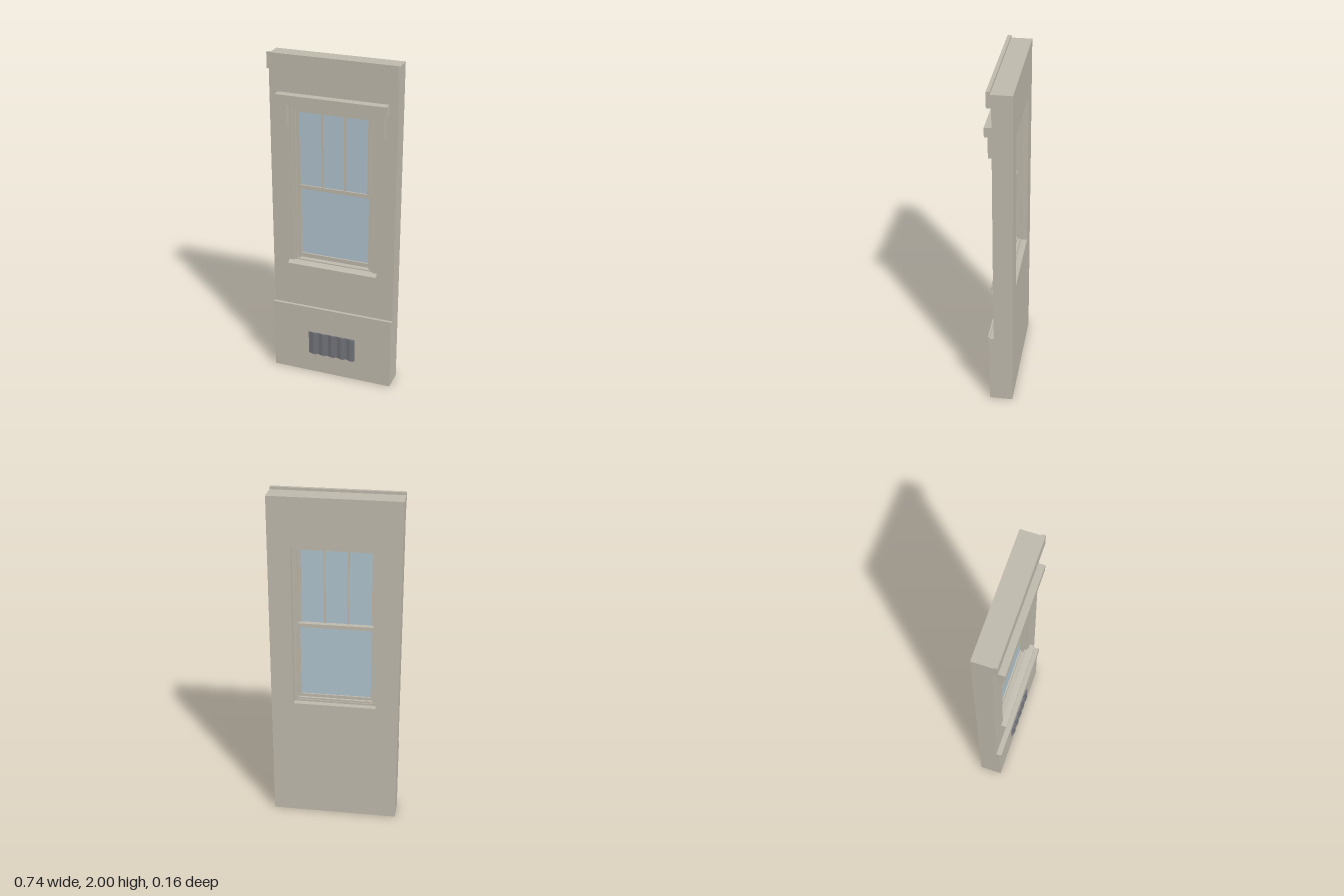
import * as THREE from 'three';

export function createModel() {
  const root = new THREE.Group();
  const mat = (name, color, side = THREE.FrontSide) => {
    const m = new THREE.MeshStandardMaterial({ color, side });
    m.name = name;
    return m;
  };
  const stone = mat('warm grey paint', 0xbdb8ab);
  const glass = mat('pale blue glass', 0xafc2cc);
  const metal = mat('dark grey metal', 0x75767c);

  const add = (name, geo, material = stone, parent = root) => {
    const mesh = new THREE.Mesh(geo, material);
    mesh.name = name;
    parent.add(mesh);
    return mesh;
  };
  // Box given by its limits on each axis
  const box = (name, x0, x1, y0, y1, z0, z1, material, parent) =>
    add(name, new THREE.BoxGeometry(x1 - x0, y1 - y0, z1 - z0), material, parent)
      .position.set((x0 + x1) / 2, (y0 + y1) / 2, (z0 + z1) / 2);
  const rectPoints = (x0, x1, y0, y1) =>
    [[x0, y0], [x1, y0], [x1, y1], [x0, y1]].map(p => new THREE.Vector2(...p));
  // Rectangular ring between an outer and an inner rectangle [x0, x1, y0, y1]
  const ring = (name, outer, inner, z0, z1, parent) => {
    const shape = new THREE.Shape(rectPoints(...outer));
    shape.holes.push(new THREE.Path(rectPoints(...inner).reverse()));
    const geo = new THREE.ExtrudeGeometry(shape, { depth: z1 - z0, bevelEnabled: false });
    geo.translate(0, 0, z0);
    return add(name, geo, stone, parent);
  };
  // Moulding: a (z, y) profile swept along x, centred
  const moulding = (name, profile, width, parent) => {
    const shape = new THREE.Shape(profile.map(([z, y]) => new THREE.Vector2(-z, y)));
    const geo = new THREE.ExtrudeGeometry(shape, { depth: width, bevelEnabled: false });
    geo.translate(0, 0, -width / 2);
    geo.rotateY(Math.PI / 2);
    return add(name, geo, stone, parent);
  };

  // Wall with window opening
  const W = 0.37, back = -0.08, front = 0.03;
  ring('wall', [-W, W, 0, 1.985], [-0.24, 0.24, 0.74, 1.705], back, front);

  // Full-width trim
  moulding('cornice', [[front, 1.91], [0.057, 1.91], [0.057, 2], [0.037, 2], [0.037, 1.985], [front, 1.985]], 2 * W);
  box('basePanel', -W, W, 0, 0.4, front, 0.053);
  moulding('baseBand', [[front, 0.4], [0.063, 0.4], [0.063, 0.455], [0.052, 0.455], [0.052, 0.445], [front, 0.445]], 2 * W);

  // Window hood on two brackets
  box('hood', -0.32, 0.32, 1.72, 1.775, front, 0.078);
  for (const s of [-1, 1])
    box('hoodBracket', s * 0.282 - 0.023, s * 0.282 + 0.023, 1.59, 1.72, front, 0.061);

  // Window: frame, sill and two sliding sashes
  const win = new THREE.Group();
  win.name = 'window';
  root.add(win);
  ring('frame', [-0.24, 0.24, 0.74, 1.705], [-0.224, 0.224, 0.752, 1.685], -0.045, 0.022, win);
  ring('innerStop', [-0.224, 0.224, 0.752, 1.685], [-0.214, 0.214, 0.762, 1.677], -0.04, -0.024, win);
  moulding('sill', [[front, 0.72], [0.06, 0.72], [0.06, 0.733], [0.045, 0.741], [front, 0.744]], 0.54, win);
  moulding('innerSill', [[-0.03, 0.74], [front, 0.74], [front, 0.744], [-0.03, 0.758]], 0.478, win);

  const sash = (name, outer, inner, z) => {
    const g = new THREE.Group();
    g.name = name;
    win.add(g);
    ring('sashFrame', outer, inner, z - 0.011, z + 0.011, g);
    box('pane', ...inner, z - 0.002, z + 0.002, glass, g);
    return g;
  };
  const upper = sash('upperSash', [-0.22, 0.22, 1.205, 1.685], [-0.2, 0.2, 1.228, 1.668], 0.008);
  sash('lowerSash', [-0.22, 0.22, 0.755, 1.228], [-0.204, 0.204, 0.78, 1.206], -0.014);
  for (const x of [-0.067, 0.067])
    box('muntin', x - 0.006, x + 0.006, 1.228, 1.668, 0, 0.016, stone, upper);
  for (const s of [-1, 1])
    box('lowerJambStop', s * 0.216 - 0.008, s * 0.216 + 0.008, 0.75, 1.205, -0.003, 0.008, stone, win);

  // Vent with slanted vertical louvres
  const vent = new THREE.Group();
  vent.name = 'vent';
  root.add(vent);
  box('ventPlate', -0.147, 0.147, 0.13, 0.28, 0.05, 0.055, metal, vent);
  const n = 5, pitch = 0.294 / n;
  for (let i = 0; i < n; i++) {
    const x = -0.147 + i * pitch;
    const blade = new THREE.Shape([[0, 0], [pitch * 0.75, 0], [pitch * 0.75, 0.009], [pitch * 0.4, 0.009]]
      .map(p => new THREE.Vector2(p[0], -p[1])));
    const geo = new THREE.ExtrudeGeometry(blade, { depth: 0.15, bevelEnabled: false });
    geo.rotateX(-Math.PI / 2);
    geo.translate(x + pitch * 0.12, 0.13, 0.055);
    add('louvre', geo, metal, vent);
  }
  return root;
}
